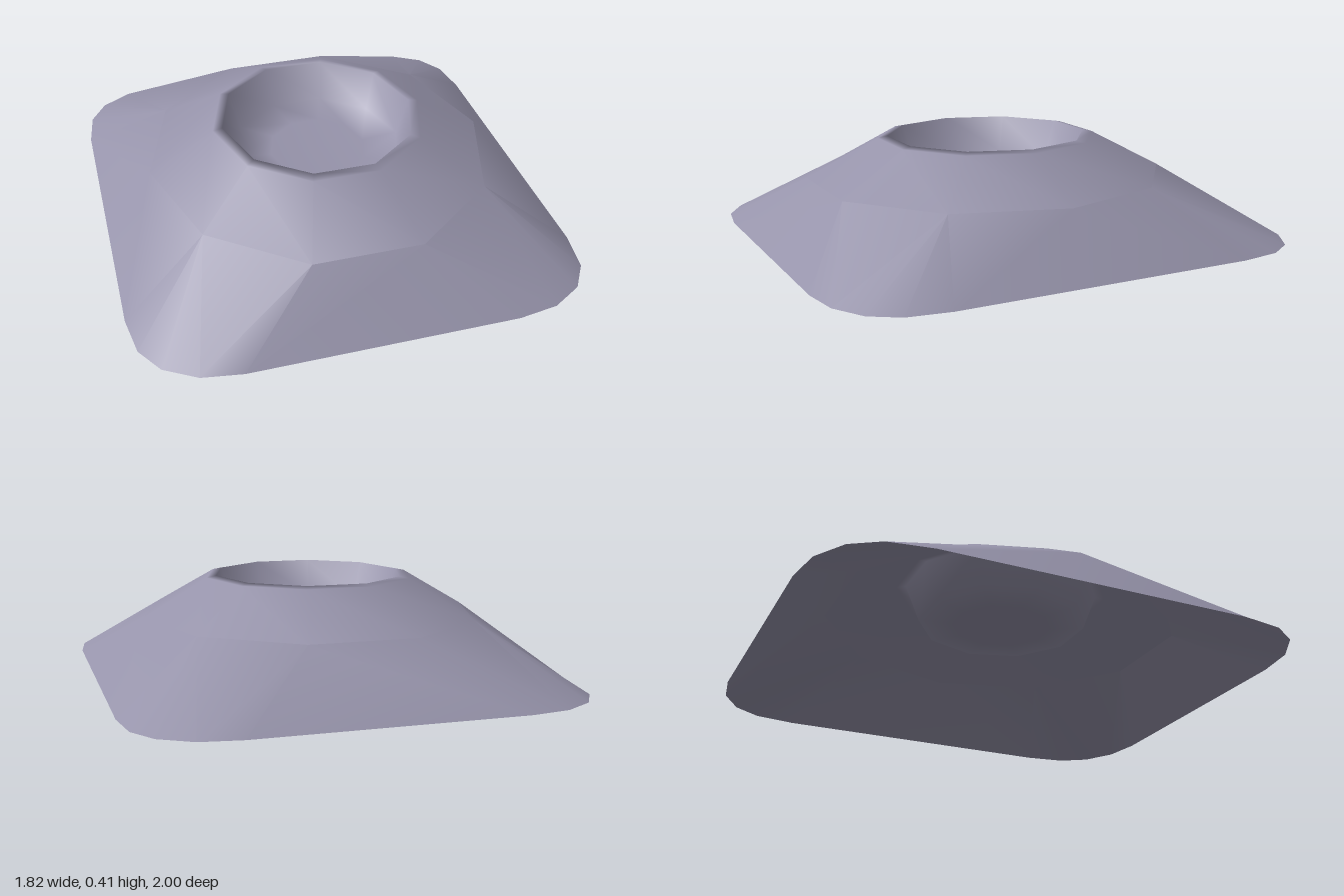
import * as THREE from 'three';
import { mergeVertices, toCreasedNormals } from 'three/addons/utils/BufferGeometryUtils.js';

const SIDES = 10;
const CENTER_Z = 0.04; // the crater sits slightly forward

// Ten-sided oval ring; corner 0 points to +x
function ring(rx, rz, y) {
  return Array.from({ length: SIDES }, (_, i) => {
    const a = (i / SIDES) * Math.PI * 2;
    return new THREE.Vector3(rx * Math.cos(a), y, CENTER_Z + rz * Math.sin(a));
  });
}

// Collects triangles, always turned to face upward
class Surface {
  constructor() { this.points = []; }
  tri(a, b, c) {
    const up = (b.z - a.z) * (c.x - a.x) - (b.x - a.x) * (c.z - a.z) > 0;
    for (const p of up ? [a, b, c] : [a, c, b]) this.points.push(p);
  }
  quad(a, b, c, d) { this.tri(a, b, c); this.tri(a, c, d); }
  band(outer, inner) {
    for (let i = 0; i < SIDES; i++) {
      const j = (i + 1) % SIDES;
      this.quad(outer[i], outer[j], inner[j], inner[i]);
    }
  }
  geometry() { return new THREE.BufferGeometry().setFromPoints(this.points); }
}

export function createModel() {
  const group = new THREE.Group();
  group.name = 'craterMound';
  const stone = new THREE.MeshStandardMaterial({ color: 0x9693aa, side: THREE.DoubleSide });
  stone.name = 'greyLilacStone';

  // Upper slope, rounded rim and bowl: smooth rings from outside to inside
  const shoulder = ring(0.71, 0.76, 0.24);
  const rings = [
    shoulder,
    ring(0.44, 0.46, 0.397),
    ring(0.40, 0.42, 0.405),
    ring(0.35, 0.36, 0.25),
    ring(0.20, 0.21, 0.237),
  ];
  const top = new Surface();
  for (let i = 1; i < rings.length; i++) top.band(rings[i - 1], rings[i]);
  const middle = new THREE.Vector3(0, 0.232, CENTER_Z);
  const floor = rings[rings.length - 1];
  floor.forEach((p, i) => top.tri(p, floor[(i + 1) % SIDES], middle));
  const topGeometry = mergeVertices(top.geometry());
  topGeometry.computeVertexNormals();
  const crater = new THREE.Mesh(topGeometry, stone);
  crater.name = 'slopeAndCrater';
  group.add(crater);

  // Skirt from the shoulder down to a rectangle with rounded corners
  const corner = [[0.91, 0.62], [0.885, 0.79], [0.815, 0.9], [0.69, 0.975], [0.53, 1]];
  const foot = (sx, sz, i) => new THREE.Vector3(sx * corner[i][0], 0, sz * corner[i][1]);
  const shoulderAt = (sx, sz, i) => {
    const k = sx > 0 ? i : SIDES / 2 - i;
    return shoulder[(sz > 0 ? k : SIDES - k) % SIDES];
  };
  const skirt = new Surface();
  for (const sx of [1, -1]) {
    for (const sz of [1, -1]) {
      const [a, b, c] = [0, 1, 2].map((i) => shoulderAt(sx, sz, i));
      const f = corner.map((_, i) => foot(sx, sz, i));
      skirt.tri(a, b, f[0]);
      for (let i = 0; i < 3; i++) skirt.tri(b, f[i], f[i + 1]);
      skirt.tri(b, c, f[3]);
      skirt.tri(c, f[3], f[4]);
    }
    // Long side triangle
    skirt.tri(shoulderAt(sx, 1, 0), foot(sx, 1, 0), foot(sx, -1, 0));
  }
  // Front and back panels
  for (const sz of [1, -1]) {
    skirt.quad(shoulderAt(1, sz, 2), shoulderAt(-1, sz, 2), foot(-1, sz, 4), foot(1, sz, 4));
  }
  const base = new THREE.Mesh(toCreasedNormals(skirt.geometry(), 0.4), stone);
  base.name = 'skirt';
  group.add(base);

  return group;
}
